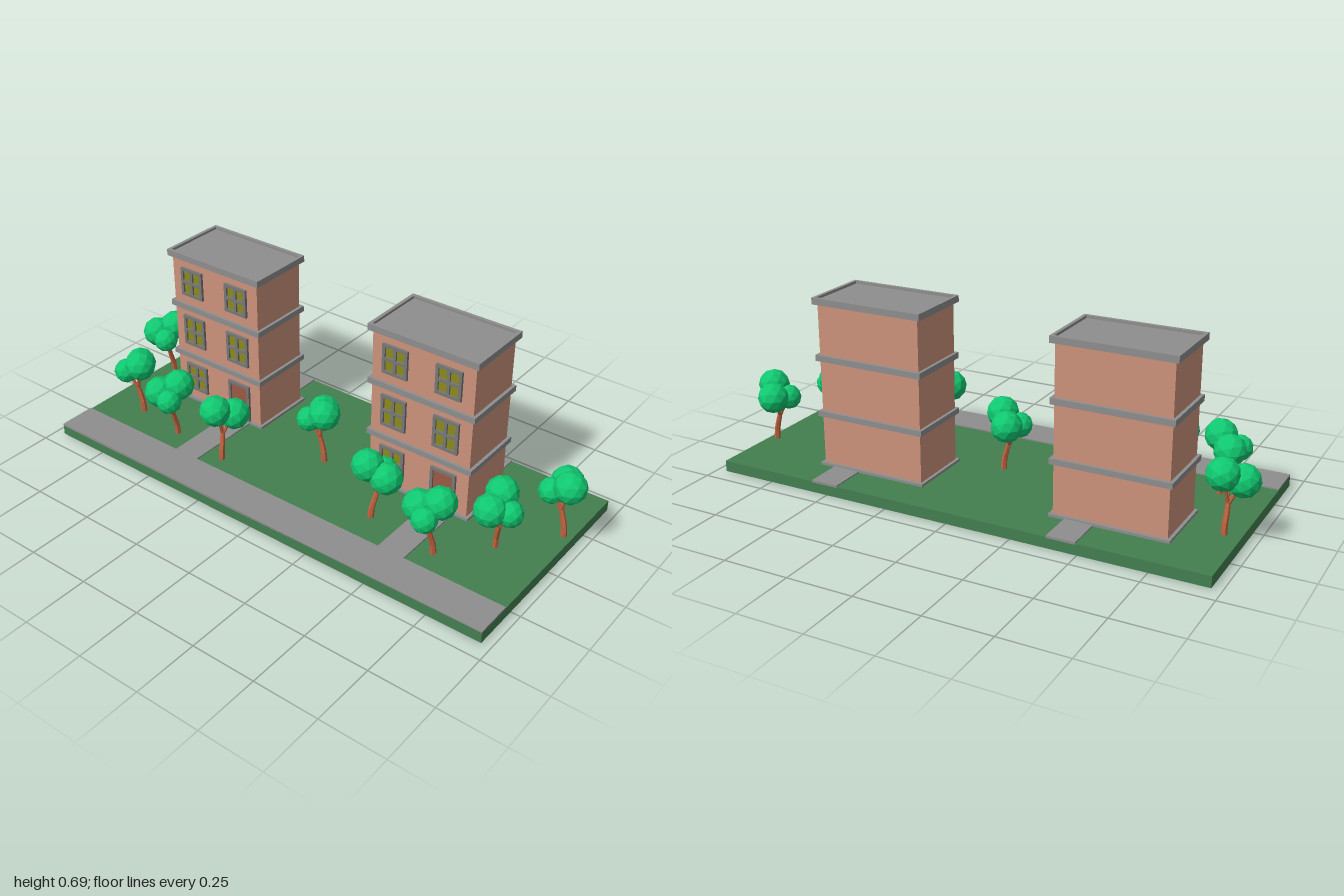
import * as THREE from 'three';

const mat = (color, extra = {}) => new THREE.MeshStandardMaterial({ color, flatShading: true, ...extra });
const GREY = mat(0x8e8e8e), WALL = mat(0xcc937b), GRASS = mat(0x437f50), FRAME = mat(0x777777);
const PANE = mat(0x8a8a1c), DOOR = mat(0x9c5a42), LEAF = mat(0x10c870), BARK = mat(0xc0633f);

// Box given by its extents on each axis
function block(parent, name, material, [x0, x1], [y0, y1], [z0, z1]) {
  const mesh = new THREE.Mesh(new THREE.BoxGeometry(x1 - x0, y1 - y0, z1 - z0), material);
  mesh.position.set((x0 + x1) / 2, (y0 + y1) / 2, (z0 + z1) / 2);
  mesh.name = name;
  parent.add(mesh);
  return mesh;
}

function rect(path, x, y, w, h) {
  path.moveTo(x, y);
  path.lineTo(x + w, y);
  path.lineTo(x + w, y + h);
  path.lineTo(x, y + h);
  path.closePath();
  return path;
}

// Frame with a grid of openings, facing -x, with a recessed filling
function opening(name, z, y0, y1, cols, rows, fill) {
  const g = new THREE.Group();
  const w = 0.105, h = y1 - y0, b = 0.012;
  const shape = rect(new THREE.Shape(), -w / 2, 0, w, h);
  const cw = (w - b * (cols + 1)) / cols, ch = (h - b * (rows + 1)) / rows;
  for (let i = 0; i < cols; i++)
    for (let j = 0; j < rows; j++)
      shape.holes.push(rect(new THREE.Path(), -w / 2 + b + i * (cw + b), b + j * (ch + b), cw, ch));
  const frame = new THREE.Mesh(new THREE.ExtrudeGeometry(shape, { depth: 0.014, bevelEnabled: false }), FRAME);
  frame.name = name + 'Frame';
  frame.rotation.y = -Math.PI / 2;
  frame.position.set(0.033, y0, z);
  g.add(frame);
  block(g, name + 'Panel', fill, [0.026, 0.032], [y0 + 0.005, y1 - 0.005], [z - w / 2 + 0.005, z + w / 2 - 0.005]);
  g.name = name;
  return g;
}

// Three-storey building, centred on local z = 0
function building() {
  const g = new THREE.Group();
  g.name = 'building';
  block(g, 'walls', WALL, [0.029, 0.277], [0.04, 0.675], [-0.21, 0.21]);
  for (const [y0, y1] of [[0.04, 0.052], [0.237, 0.258], [0.453, 0.476]])
    block(g, 'ledge', GREY, [0.018, 0.29], [y0, y1], [-0.222, 0.222]);

  // Roof slab with a raised rim
  block(g, 'roof', GREY, [0.02, 0.285], [0.667, 0.682], [-0.22, 0.22]);
  const rim = rect(new THREE.Shape(), 0.015, -0.225, 0.277, 0.45);
  rim.holes.push(rect(new THREE.Path(), 0.028, -0.212, 0.251, 0.424));
  const parapet = new THREE.Mesh(new THREE.ExtrudeGeometry(rim, { depth: 0.025, bevelEnabled: false }), GREY);
  parapet.rotation.x = -Math.PI / 2;
  parapet.position.y = 0.667;
  parapet.name = 'parapet';
  g.add(parapet);

  // Street side: door on the ground floor, windows elsewhere
  [[0.092, 0.21], [0.298, 0.426], [0.516, 0.632]].forEach(([y0, y1], floor) => {
    g.add(opening('window', -0.112, y0, y1, 2, 2, PANE));
    g.add(floor ? opening('window', 0.108, y0, y1, 2, 2, PANE) : opening('door', 0.108, 0.046, y1, 1, 1, DOOR));
  });
  return g;
}

// Tapered tube along a few points
function limb(name, points, r0, r1) {
  const curve = new THREE.CatmullRomCurve3(points.map(p => new THREE.Vector3(...p)));
  const segs = 5, sides = 6;
  const geo = new THREE.TubeGeometry(curve, segs, r0, sides);
  const pos = geo.attributes.position, v = new THREE.Vector3();
  for (let i = 0; i < pos.count; i++) {
    const t = Math.floor(i / (sides + 1)) / segs;
    const c = curve.getPointAt(t);
    v.fromBufferAttribute(pos, i).sub(c).multiplyScalar(1 + (r1 / r0 - 1) * t).add(c);
    pos.setXYZ(i, v.x, v.y, v.z);
  }
  const mesh = new THREE.Mesh(geo, BARK);
  mesh.name = name;
  return mesh;
}

// Tree whose tallest crown is at local x = z = 0
function tree() {
  const g = new THREE.Group();
  g.name = 'tree';
  const fork = [0.03, 0.15, -0.017];
  g.add(limb('trunk', [[0.016, 0.036, 0], [0.018, 0.08, -0.002], [0.026, 0.12, -0.01], fork], 0.012, 0.009));
  for (const [x, y, z, r] of [[0, 0.262, 0, 0.06], [0.074, 0.232, 0, 0.06], [0.037, 0.221, -0.056, 0.048]]) {
    const mid = [(x + fork[0]) / 2, (y + fork[1]) / 2 - 0.005, (z + fork[2]) / 2];
    g.add(limb('branch', [[fork[0], fork[1] - 0.006, fork[2]], mid, [x, y - 0.02, z]], 0.008, 0.004));
    const crown = new THREE.Mesh(new THREE.IcosahedronGeometry(r, 1), LEAF);
    crown.position.set(x, y, z);
    crown.name = 'crown';
    g.add(crown);
  }
  return g;
}

export function createModel() {
  const model = new THREE.Group();
  model.name = 'streetBlock';

  // Ground, road and paths
  block(model, 'lawn', GRASS, [-0.433, 0.433], [0, 0.042], [-0.963, 0.963]);
  block(model, 'road', GREY, [-0.433, -0.287], [0.038, 0.047], [-0.963, 0.963]);
  for (const z of [-0.546, 0.402]) {
    block(model, 'path', GREY, [-0.287, 0.433], [0.038, 0.047], [z + 0.053, z + 0.16]);
    const b = building();
    b.position.z = z;
    model.add(b);
  }

  // Trees: position of the tallest crown, then of the second crown
  const trees = [
    [0.148, -0.889, 0.105, -0.942], [-0.175, -0.773, -0.122, -0.825], [-0.185, -0.556, -0.233, -0.614],
    [-0.238, -0.323, -0.169, -0.286], [-0.011, 0.01, 0.048, -0.037], [-0.169, 0.322, -0.159, 0.397],
    [-0.196, 0.64, -0.217, 0.566], [-0.021, 0.772, -0.095, 0.772], [0.143, 0.94, 0.206, 0.898],
  ];
  for (const [x, z, x2, z2] of trees) {
    const t = tree();
    t.position.set(x, 0, z);
    t.rotation.y = Math.atan2(z - z2, x2 - x);
    model.add(t);
  }
  return model;
}
